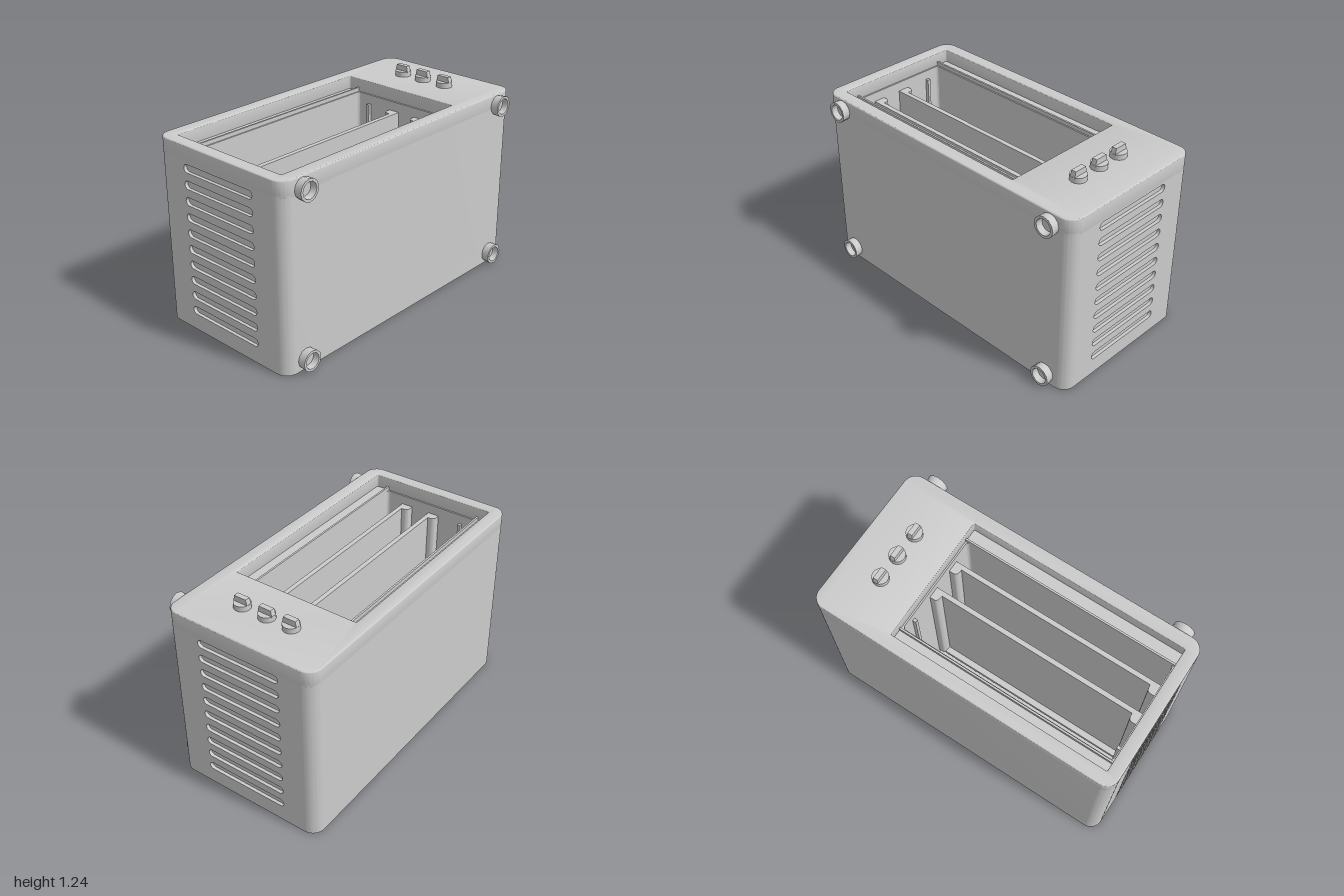
import * as THREE from 'three';
import { toCreasedNormals } from 'three/addons/utils/BufferGeometryUtils.js';

const material = new THREE.MeshStandardMaterial({ color: 0xcccccc, side: THREE.DoubleSide });

function add(parent, name, geometry, x = 0, y = 0, z = 0) {
  const mesh = new THREE.Mesh(toCreasedNormals(geometry, 0.6), material);
  mesh.name = name;
  mesh.position.set(x, y, z);
  parent.add(mesh);
  return mesh;
}

// Rounded rectangle; notch cuts shallow recesses into its two sides.
function roundedRect(x0, x1, y0, y1, r, notch = 0, n0 = 0, n1 = 0, ShapeType = THREE.Shape) {
  const s = new ShapeType();
  s.moveTo(x0 + r, y0);
  s.lineTo(x1 - r, y0);
  s.absarc(x1 - r, y0 + r, r, -Math.PI / 2, 0);
  if (notch) {
    s.lineTo(x1, n0); s.lineTo(x1 - notch, n0);
    s.lineTo(x1 - notch, n1); s.lineTo(x1, n1);
  }
  s.absarc(x1 - r, y1 - r, r, 0, Math.PI / 2);
  s.absarc(x0 + r, y1 - r, r, Math.PI / 2, Math.PI);
  if (notch) {
    s.lineTo(x0, n1); s.lineTo(x0 + notch, n1);
    s.lineTo(x0 + notch, n0); s.lineTo(x0, n0);
  }
  s.absarc(x0 + r, y0 + r, r, Math.PI, Math.PI * 1.5);
  s.closePath();
  return s;
}
const hole = (x0, x1, y0, y1, r) => roundedRect(x0, x1, y0, y1, r, 0, 0, 0, THREE.Path);

// Extrudes a plan shape (x, -z) upward from y0 to y1.
function rise(shape, y0, y1, bevel = 0) {
  const g = new THREE.ExtrudeGeometry(shape, {
    depth: y1 - y0 - 2 * bevel, curveSegments: 8, bevelEnabled: bevel > 0,
    bevelThickness: bevel, bevelSize: bevel, bevelOffset: -bevel, bevelSegments: 3,
  });
  return g.rotateX(-Math.PI / 2).translate(0, y0 + bevel, 0);
}

// Side panel with ten vent slots, standing in the z-y plane.
function ventPanel() {
  const s = new THREE.Shape();
  s.moveTo(-0.38, 0); s.lineTo(0.4, 0); s.lineTo(0.4, 1.08); s.lineTo(-0.38, 1.08);
  s.closePath();
  for (let i = 0; i < 10; i++) {
    const y = 0.13 + i * 0.1;
    s.holes.push(hole(-0.25, 0.3, y - 0.025, y + 0.025, 0.0249));
  }
  return new THREE.ExtrudeGeometry(s, { depth: 0.02, bevelEnabled: false, curveSegments: 8 })
    .rotateY(Math.PI / 2);
}

// Tray section with upturned, curved ends.
function trayShape() {
  const s = new THREE.Shape();
  s.moveTo(-0.91, 0); s.lineTo(0.49, 0); s.lineTo(0.49, 0.075);
  s.lineTo(0.46, 0.075);
  s.quadraticCurveTo(0.435, 0.075, 0.435, 0.03);
  s.lineTo(-0.855, 0.03);
  s.quadraticCurveTo(-0.855, 0.075, -0.88, 0.075);
  s.lineTo(-0.91, 0.075);
  s.closePath();
  return s;
}

export function createModel() {
  const model = new THREE.Group();
  model.name = 'toasterOven';

  // Housing: closed rear, cavity section and bezel with a softened edge
  const housing = new THREE.Group();
  housing.name = 'housing';
  model.add(housing);
  const outline = () => roundedRect(-1, 1, -0.475, 0.525, 0.08, 0.02, -0.38, 0.4);
  add(housing, 'rearWall', rise(outline(), 0, 0.1));
  const cavity = outline();
  cavity.holes.push(hole(-0.91, 0.49, -0.3, 0.35, 0.02));
  add(housing, 'cavityWalls', rise(cavity, 0.1, 1.08));
  const bezel = roundedRect(-1, 1, -0.475, 0.525, 0.08);
  bezel.holes.push(hole(-0.92, 0.5, -0.39, 0.44, 0.008));
  add(housing, 'bezel', rise(bezel, 1.06, 1.167, 0.007));

  // Vent panels, one per side
  for (const side of [-1, 1]) {
    // the panel's own +x is turned outward by mirroring its slots in z
    add(housing, 'ventPanel', ventPanel().translate(side > 0 ? 0.98 : -1, 0, 0));
  }

  // Door seals running along the ledges
  for (const z of [-0.365, 0.305]) {
    add(model, 'doorSeal', new THREE.BoxGeometry(1.42, 0.03, 0.012), -0.21, 1.09, z);
  }

  // Trays across the cavity, each with a lip at the rear
  for (const z of [-0.015, 0.185]) {
    const tray = new THREE.Group();
    tray.name = 'tray';
    tray.position.z = z;
    add(tray, 'trayPlate', rise(trayShape(), 0.14, 1.02));
    add(tray, 'trayLip', new THREE.BoxGeometry(1.3, 0.03, 0.05), -0.21, 0.155, -0.045);
    model.add(tray);
  }

  // Small runners above the trays
  for (const x of [-0.9, 0.48]) {
    add(model, 'runner', new THREE.BoxGeometry(0.025, 0.9, 0.02), x, 0.57, -0.255);
  }

  // Control knobs: round base with a tapered grip
  for (const z of [-0.195, -0.03, 0.14]) {
    const knob = new THREE.Group();
    knob.name = 'knob';
    knob.position.set(0.745, 1.165, z);
    add(knob, 'knobBase', new THREE.CylinderGeometry(0.05, 0.05, 0.035, 24), 0, 0.0175, 0);
    const grip = new THREE.Shape();
    grip.moveTo(-0.049, 0.03); grip.lineTo(0.049, 0.03);
    grip.lineTo(0.04, 0.07); grip.lineTo(-0.04, 0.07);
    grip.closePath();
    add(knob, 'knobGrip', new THREE.ExtrudeGeometry(grip, { depth: 0.032, bevelEnabled: false })
      .rotateY(Math.PI / 2).translate(-0.016, 0, 0));
    model.add(knob);
  }

  // Hollow feet
  const footProfile = [[0.062, 0], [0.066, 0.05], [0.05, 0.05], [0.044, 0.012], [0, 0.012]]
    .map(([r, h]) => new THREE.Vector2(r, h));
  for (const x of [-0.85, 0.85]) {
    for (const y of [0.069, 1.096]) {
      add(model, 'foot', new THREE.LatheGeometry(footProfile, 12).rotateX(Math.PI / 2), x, y, 0.475);
    }
  }
  return model;
}
